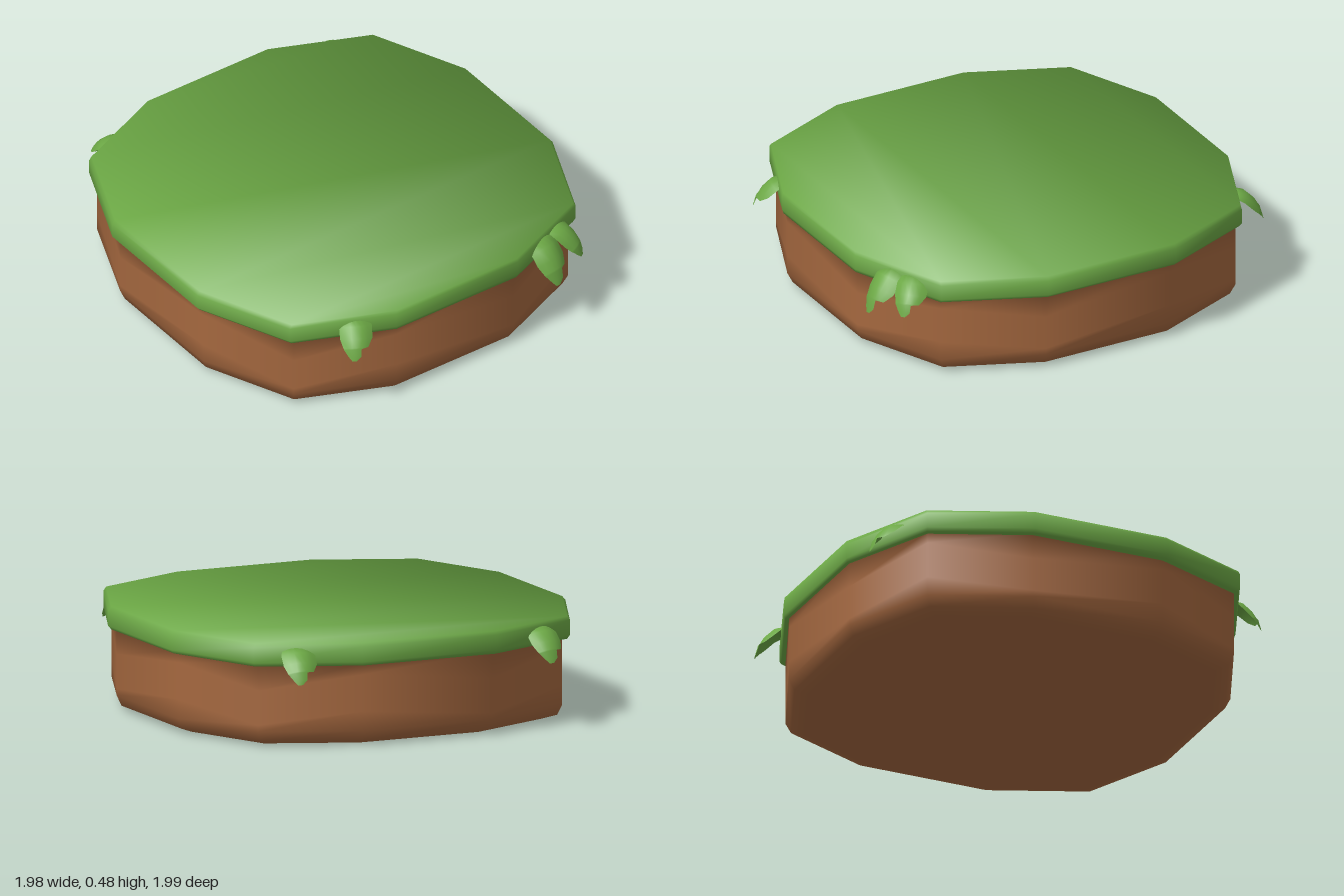
import * as THREE from 'three';

const GREEN = new THREE.MeshStandardMaterial({ color: 0x6ca845 });
const BROWN = new THREE.MeshStandardMaterial({ color: 0xa5683f });
const LEAF = new THREE.MeshStandardMaterial({ color: 0x6ca845, side: THREE.DoubleSide });

// Twelve-sided outline, front to right to back to left
const side = [[0.34, 0.97], [0.8, 0.78], [0.995, 0.33]];
const right = [...side, ...side.map(([x, z]) => [x, -z]).reverse()];
const outline = [...right, ...right.map(([x, z]) => [-x, z]).reverse()];
const N = outline.length;

// Rings run bottom to top: [x scale, z scale, y, normal tilt in degrees, zigzag rise]
function slab(name, rings, material) {
  const pos = [], nor = [], idx = [];
  for (const [sx, sz, y, tilt, rise = 0] of rings) {
    const t = THREE.MathUtils.degToRad(tilt);
    outline.forEach(([x, z], i) => {
      const r = Math.hypot(x, z);
      pos.push(x * sx, y + (i % 2) * rise, z * sz - 0.02);
      nor.push((x / r) * Math.cos(t), Math.sin(t), (z / r) * Math.cos(t));
    });
  }
  for (let k = 0; k < rings.length - 1; k++) {
    for (let i = 0; i < N; i++) {
      const a = k * N + i, b = k * N + (i + 1) % N;
      idx.push(a, b, b + N, a, b + N, a + N);
    }
  }
  // Caps in strips joining mirrored corners
  const top = (rings.length - 1) * N;
  for (let i = 0; i < N / 2 - 1; i++) {
    const a = i, b = i + 1, c = N - 2 - i, d = N - 1 - i;
    idx.push(top + a, top + b, top + c, top + a, top + c, top + d);
    idx.push(a, c, b, a, d, c);
  }
  const geo = new THREE.BufferGeometry();
  geo.setAttribute('position', new THREE.Float32BufferAttribute(pos, 3));
  geo.setAttribute('normal', new THREE.Float32BufferAttribute(nor, 3));
  geo.setIndex(idx);
  const mesh = new THREE.Mesh(geo, material);
  mesh.name = name;
  return mesh;
}

// Drooping leaf with a notch on one side; stations are [out, y, left, right]
function leafGeometry() {
  const stations = [
    [-0.05, -0.03, -0.045, 0.045],
    [-0.01, 0, -0.065, 0.06],
    [0.04, -0.015, -0.08, 0.078],
    [0.08, -0.055, -0.08, 0.075],
    [0.1, -0.09, -0.068, 0.05],
    [0.105, -0.095, -0.066, 0.015],
    [0.115, -0.13, -0.045, 0.012],
    [0.12, -0.15, -0.03, -0.01],
  ];
  const cols = 6, pos = [], idx = [];
  stations.forEach(([out, y, l, r], k) => {
    for (let j = 0; j <= cols; j++) {
      const u = j / cols, x = l + (r - l) * u;
      const bend = 5 * x * x;
      pos.push(x, y - bend * 0.6, out - bend);
      if (k && j) {
        const d = k * (cols + 1) + j, c = d - 1, b = d - cols - 1, a = b - 1;
        idx.push(a, c, d, a, d, b);
      }
    }
  });
  const geo = new THREE.BufferGeometry();
  geo.setAttribute('position', new THREE.Float32BufferAttribute(pos, 3));
  geo.setIndex(idx);
  geo.computeVertexNormals();
  return geo;
}

export function createModel() {
  const model = new THREE.Group();
  model.name = 'grassPlatform';

  // Soil block with rounded foot and uneven side bands
  model.add(slab('soil', [
    [0.875, 0.887, 0, -65],
    [0.935, 0.955, 0.022, -45],
    [0.955, 0.98, 0.07, -20],
    [0.955, 0.98, 0.1, 0, 0.06],
    [0.955, 0.98, 0.26, 0, 0.07],
    [0.955, 0.98, 0.385, -30],
  ], BROWN));

  // Overhanging turf
  model.add(slab('turf', [
    [0.98, 0.995, 0.375, -45],
    [0.995, 1, 0.392, -10],
    [0.995, 1, 0.462, 20],
    [0.98, 0.998, 0.48, 45],
  ], GREEN));

  // Leaves hanging over the diagonal edges: [x, z, yaw in degrees, width scale, drop scale]
  const geo = leafGeometry();
  const leaves = [
    [-0.51, 0.87, -28, 0.95, 1],
    [0.53, 0.875, 12, 1.05, 1.26],
    [0.65, 0.82, 45, 0.95, 1],
    [-0.61, -0.88, 190, 1, 1],
    [0.61, -0.88, 170, 1, 1],
  ];
  leaves.forEach(([x, z, yaw, w, drop], i) => {
    const leaf = new THREE.Mesh(geo, LEAF);
    leaf.name = 'leaf' + (i + 1);
    leaf.position.set(x, 0.462, z);
    leaf.rotation.y = THREE.MathUtils.degToRad(yaw);
    leaf.scale.set(w, drop, 1);
    model.add(leaf);
  });
  return model;
}
